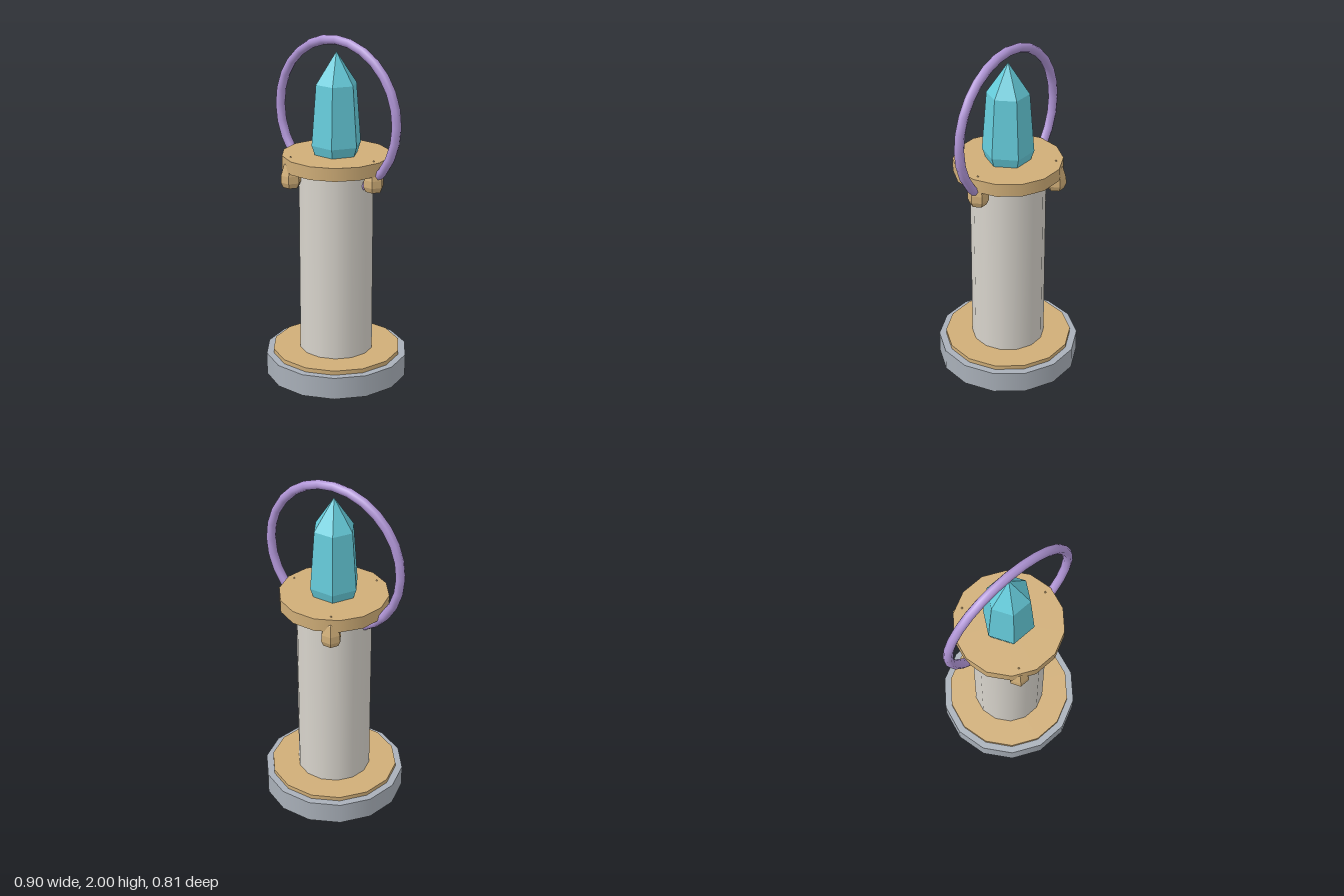
import * as THREE from 'three';

const STONE = 0xd8d4cc, SLATE = 0xa9b0b9, BRASS = 0xd0ae78, CRYSTAL = 0x66ccdb, VIOLET = 0xb095d6;

function part(name, geometry, color, flatShading = false) {
  const mesh = new THREE.Mesh(geometry, new THREE.MeshStandardMaterial({ color, flatShading }));
  mesh.name = name;
  return mesh;
}

// 14-sided disc or column between two heights, with a corner on the x axis
function drum(name, radius, bottom, top, color) {
  const geometry = new THREE.CylinderGeometry(radius, radius, top - bottom, 14);
  geometry.rotateY(Math.PI / 2).translate(0, (bottom + top) / 2, 0);
  return part(name, geometry, color);
}

// Six-sided faceted gem from [radius, height] pairs, with a corner on the x axis
function gem(name, profile, color) {
  const points = profile.map(([r, y]) => new THREE.Vector2(r, y));
  const geometry = new THREE.LatheGeometry(points, 6).rotateY(Math.PI / 2);
  return part(name, geometry, color, true);
}

export function createModel() {
  const model = new THREE.Group();
  model.name = 'crystalPedestal';

  // Pedestal
  model.add(
    drum('base', 0.416, 0, 0.13, SLATE),
    drum('baseTrim', 0.375, 0.12, 0.155, BRASS),
    drum('column', 0.215, 0.14, 1.27, STONE),
    drum('topPlate', 0.31, 1.255, 1.33, BRASS)
  );

  // Large crystal standing on the plate
  model.add(gem('crystal', [[0, 1.32], [0.125, 1.32], [0.147, 1.385], [0.12, 1.73], [0, 1.91]], CRYSTAL));

  // Three small studs hanging under the plate, their tips just piercing it
  const studs = new THREE.Group();
  studs.name = 'studs';
  for (let i = 0; i < 3; i++) {
    const angle = (i * Math.PI * 2) / 3;
    const stud = gem('stud', [[0, 1.16], [0.047, 1.16], [0.06, 1.19], [0.058, 1.23], [0.04, 1.29], [0, 1.337]], BRASS);
    stud.position.set(0.27 * Math.cos(angle), 0, 0.27 * Math.sin(angle));
    studs.add(stud);
  }
  model.add(studs);

  // Upright ring around the crystal, passing through the column top
  const ring = part('ring', new THREE.TorusGeometry(0.425, 0.027, 8, 28), VIOLET);
  ring.position.y = 1.548;
  model.add(ring);

  return model;
}
